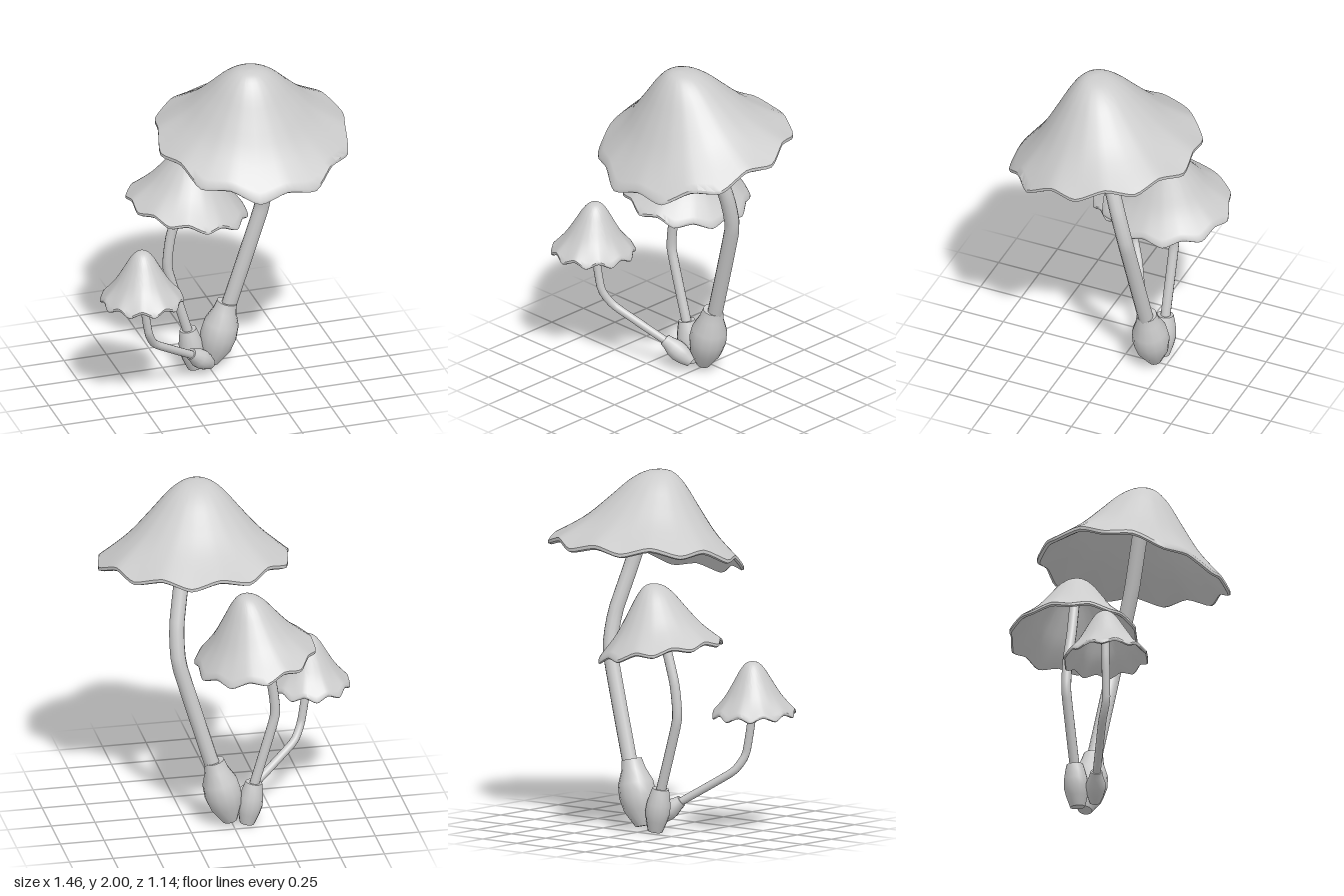
import * as THREE from 'three';
import { toCreasedNormals } from 'three/addons/utils/BufferGeometryUtils.js';

const SEGMENTS = 80;
const LOBES = 10;
const V = (p) => new THREE.Vector3(...p);
const material = new THREE.MeshStandardMaterial({ color: 0xcccccc });

// Bell shape shared by all caps: spread from the apex against drop to the rim
const bell = new THREE.SplineCurve(
  [[0, 0], [0.15, 0.035], [0.3, 0.17], [0.48, 0.42], [0.7, 0.71], [1, 1]].map(([x, y]) => new THREE.Vector2(x, y))
);

// Elliptical rim on a tilted plane; scallop 1 gives tips and notches, 0 a plain ring.
// bend lifts the two sides above the front and back.
function rimCurve({ center, rx, rz, slopeX, slopeZ, bend, wave, phase }, scallop) {
  const points = [];
  for (let i = 0; i < LOBES * 2; i++) {
    const a = phase + (i / LOBES) * Math.PI;
    const side = i % 2 === 0 ? 1 : -1;
    const k = 0.975 + 0.025 * side * scallop;
    const x = Math.cos(a) * rx * k, z = Math.sin(a) * rz * k;
    const y = slopeX * x + slopeZ * z + bend * Math.cos(a) ** 2 - wave * side * scallop;
    points.push(V(center).add(new THREE.Vector3(x, y, z)));
  }
  return new THREE.CatmullRomCurve3(points, true, 'catmullrom', 0.35);
}

// Cap shell: the bell stretched between the apex and the rim, waves fading upward
function capGeometry(apex, rim, thickness) {
  const top = V(apex);
  const wavy = rimCurve(rim, 1), plain = rimCurve(rim, 0);
  const outer = bell.getPoints(18);

  // rows run over the outside, round the rim and back inside: [spread, drop, lift]
  const rows = outer.map((p) => [p.x, p.y, 0]);
  rows.push([1, 1, -thickness * 0.6], [0.975, 0.99, -thickness]);
  const inner = outer.filter((p) => p.x > 0.27 && p.x < 0.97).reverse();
  inner.forEach((p) => rows.push([p.x * 0.98, p.y, -thickness * (1.7 - 0.7 * p.x) ]));

  // lip around the socket for the stem
  const lip = inner[inner.length - 1].y;
  rows.push([0.25, lip, -thickness * 2], [0.21, lip, -thickness * 1.6], [0.18, lip * 0.5, -thickness], [0, 0.02, -thickness]);

  const position = [], index = [];
  for (const [spread, drop, lift] of rows) {
    for (let j = 0; j < SEGMENTS; j++) {
      const u = j / SEGMENTS;
      const p = plain.getPoint(u).lerp(wavy.getPoint(u), spread ** 3).sub(top);
      position.push(top.x + p.x * spread, top.y + p.y * drop + lift, top.z + p.z * spread);
    }
  }
  for (let i = 0; i < rows.length - 1; i++) {
    for (let j = 0; j < SEGMENTS; j++) {
      const a = i * SEGMENTS + j, b = i * SEGMENTS + (j + 1) % SEGMENTS;
      const c = a + SEGMENTS, d = b + SEGMENTS;
      if (i > 0) index.push(a, b, c);
      if (i < rows.length - 2) index.push(b, d, c);
    }
  }
  const geometry = new THREE.BufferGeometry();
  geometry.setAttribute('position', new THREE.Float32BufferAttribute(position, 3));
  geometry.setIndex(index);
  return toCreasedNormals(geometry, 0.8);
}

// Bulb at the foot of a stem, turned around the line from bottom to top
function bulbGeometry({ bottom, top, rBottom, rMiddle, rTop }) {
  const axis = V(top).sub(V(bottom)), length = axis.length();
  const profile = [
    [0, 0], [rBottom, 0], [rMiddle * 0.86, 0.25], [rMiddle, 0.45],
    [rMiddle * 0.95, 0.65], [rTop * 1.2, 0.85], [rTop, 1], [rTop * 0.75, 1], [0, 0.95]
  ].map(([r, y]) => new THREE.Vector2(r, y * length));
  const geometry = new THREE.LatheGeometry(profile, 14);
  const up = new THREE.Vector3(0, 1, 0);
  geometry.applyQuaternion(new THREE.Quaternion().setFromUnitVectors(up, axis.normalize()));
  geometry.translate(...bottom);
  return toCreasedNormals(geometry, 0.8);
}

function createMushroom(name, { apex, rim, thickness, stem, stemRadius, bulb }) {
  const mushroom = new THREE.Group();
  mushroom.name = name;
  const add = (part, geometry) => {
    const mesh = new THREE.Mesh(geometry, material);
    mesh.name = part;
    mushroom.add(mesh);
  };
  // the stem runs from inside the bulb up into the cap
  const path = new THREE.CatmullRomCurve3(stem.map(V), false, 'catmullrom', 0.2);
  add('cap', capGeometry(apex, rim, thickness));
  add('stem', new THREE.TubeGeometry(path, 24, stemRadius, 12));
  add('bulb', bulbGeometry(bulb));
  return mushroom;
}

export function createModel() {
  const group = new THREE.Group();
  group.name = 'mushroomCluster';

  group.add(createMushroom('largeMushroom', {
    apex: [0.14, 2, 0.13],
    rim: {
      center: [0.18, 1.515, 0.04], rx: 0.555, rz: 0.54,
      slopeX: 0.01, slopeZ: -0.2, bend: 0.06, wave: 0.02, phase: -0.1
    },
    thickness: 0.03,
    stem: [[0.1, 0.32, -0.18], [0.295, 0.98, -0.135], [0.3, 1.2, -0.085], [0.255, 1.45, -0.005], [0.17, 1.86, 0.1]],
    stemRadius: 0.043,
    bulb: { bottom: [0.015, 0.025, -0.185], top: [0.105, 0.395, -0.175], rBottom: 0.04, rMiddle: 0.105, rTop: 0.057 }
  }));

  group.add(createMushroom('mediumMushroom', {
    apex: [-0.07, 1.41, -0.2],
    rim: {
      center: [-0.125, 1.045, -0.195], rx: 0.34, rz: 0.375,
      slopeX: -0.17, slopeZ: 0.02, bend: 0, wave: 0.014, phase: Math.PI / 10
    },
    thickness: 0.024,
    stem: [[-0.11, 0.2, -0.19], [-0.24, 0.65, -0.19], [-0.222, 0.85, -0.19], [-0.165, 1.04, -0.19], [-0.09, 1.3, -0.2]],
    stemRadius: 0.028,
    bulb: { bottom: [-0.08, 0.005, -0.19], top: [-0.12, 0.25, -0.19], rBottom: 0.042, rMiddle: 0.07, rTop: 0.047 }
  }));

  group.add(createMushroom('smallMushroom', {
    apex: [-0.5, 0.97, 0.155],
    rim: {
      center: [-0.505, 0.685, 0.165], rx: 0.235, rz: 0.245,
      slopeX: 0, slopeZ: 0.04, bend: 0, wave: 0.014, phase: Math.PI / 10
    },
    thickness: 0.02,
    stem: [[-0.12, 0.145, -0.06], [-0.405, 0.34, 0.1], [-0.46, 0.44, 0.148], [-0.495, 0.66, 0.16], [-0.5, 0.9, 0.158]],
    stemRadius: 0.023,
    bulb: { bottom: [-0.01, 0.05, -0.115], top: [-0.15, 0.168, -0.045], rBottom: 0.03, rMiddle: 0.056, rTop: 0.033 }
  }));

  return group;
}
